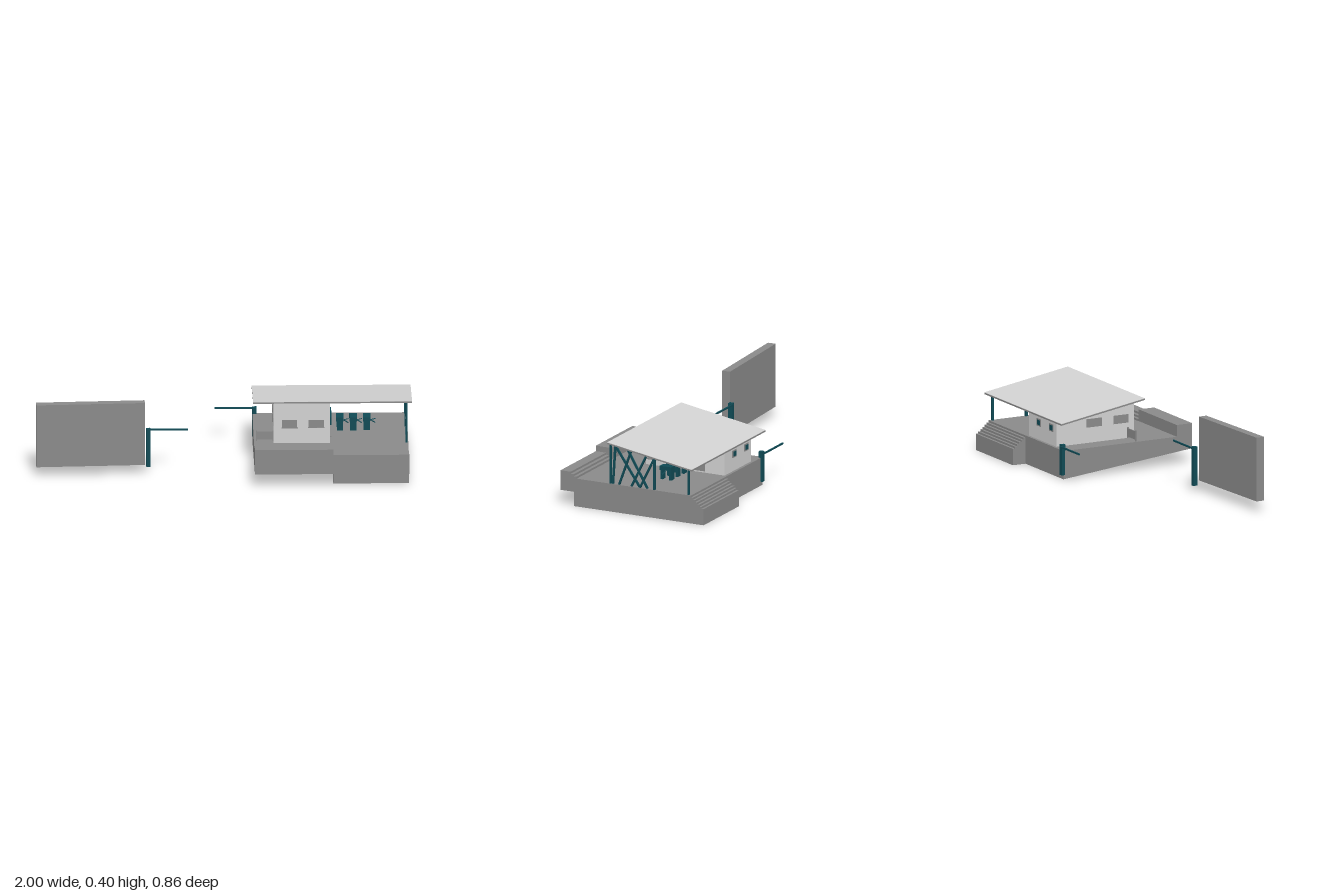
import * as THREE from 'three';

const mat = (name, color) => Object.assign(
  new THREE.MeshStandardMaterial({ color, side: THREE.DoubleSide, flatShading: true }), { name });

export function createModel() {
  const concrete = mat('concrete grey', 0x8a8a8a);
  const light = mat('pale grey', 0xd2d2d2);
  const teal = mat('dark teal', 0x0f4a55);

  const root = new THREE.Group();
  root.name = 'station';
  const hall = new THREE.Group(); // slightly turned platform and building
  hall.name = 'stationHall';
  hall.position.x = 0.56;
  hall.rotation.y = -0.05;
  root.add(hall);

  const add = (name, geo, m, parent = hall) => {
    const mesh = new THREE.Mesh(geo, m);
    mesh.name = name;
    parent.add(mesh);
    return mesh;
  };
  // box given by its extents
  const box = (name, x0, x1, y0, y1, z0, z1, m, parent) => {
    const b = add(name, new THREE.BoxGeometry(x1 - x0, y1 - y0, z1 - z0), m, parent);
    b.position.set((x0 + x1) / 2, (y0 + y1) / 2, (z0 + z1) / 2);
    return b;
  };
  // square bar between two points
  const bar = (name, a, b, t, m, parent) => {
    const p = new THREE.Vector3(...a), q = new THREE.Vector3(...b);
    const mesh = add(name, new THREE.BoxGeometry(t, t, p.distanceTo(q)), m, parent);
    mesh.position.copy(p).add(q).multiplyScalar(0.5);
    mesh.quaternion.setFromUnitVectors(new THREE.Vector3(0, 0, 1), q.sub(p).normalize());
    return mesh;
  };
  const shapeOf = pts => new THREE.Shape(pts.map(p => new THREE.Vector2(...p)));
  // flat side wall from [z, y] points, facing +x or -x
  const sideWall = (name, pts, x, dir, m) => {
    const g = new THREE.ShapeGeometry(shapeOf(dir > 0 ? pts.map(([z, y]) => [-z, y]) : pts));
    g.rotateY(dir * Math.PI / 2);
    g.translate(x, 0, 0);
    return add(name, g, m);
  };
  // solid of constant [z, y] section between two x values
  const prism = (name, pts, x0, x1, m) => {
    const g = new THREE.ExtrudeGeometry(shapeOf(pts), { depth: x1 - x0, bevelEnabled: false });
    g.rotateY(-Math.PI / 2);
    g.translate(x1, 0, 0);
    return add(name, g, m);
  };
  // open folded sheet following a [z, y] profile that runs from back to front
  const sheet = (name, pts, x0, x1, m) => {
    const pos = [];
    for (let i = 0; i < pts.length - 1; i++) {
      const [z0, y0] = pts[i], [z1, y1] = pts[i + 1];
      pos.push(x0, y0, z0, x0, y1, z1, x1, y1, z1, x0, y0, z0, x1, y1, z1, x1, y0, z0);
    }
    const g = new THREE.BufferGeometry();
    g.setAttribute('position', new THREE.Float32BufferAttribute(pos, 3));
    g.computeVertexNormals();
    return add(name, g, m);
  };

  // platform shell, open underneath
  const D = 0.152, XL = -0.411, XR = 0.397;
  const stairs = [[-0.435, 0]];
  for (let i = 0; i < 6; i++) {
    const z = -0.435 + i * 0.0125, y = 0.088 + i * 0.0107;
    stairs.push([z, y], [z + 0.0125, y]);
  }
  const rightProfile = [...stairs, [-0.36, D], [0.315, D], [0.315, 0.163], [0.332, 0.163],
    [0.332, 0.174], [0.35, 0.174], [0.35, 0.185], [0.41, 0.185], [0.41, 0.078], [0.33, 0.078], [0.33, 0]];
  const leftProfile = [[-0.36, 0], [-0.36, D], [0.318, D], [0.318, 0.215], [0.41, 0.215], [0.41, 0.08]];
  sheet('platformRight', rightProfile, 0, XR, concrete);
  sheet('platformLeft', leftProfile, XL, 0, concrete);
  sideWall('platformRightWall', rightProfile, XR, 1, concrete);
  sideWall('platformLeftWall', leftProfile, XL, -1, concrete);
  sideWall('parapetEnd', [[0.318, D], [0.41, D], [0.41, 0.215], [0.318, 0.215]], 0, 1, concrete);
  sideWall('platformBracket', [[0.33, 0], [0.41, 0.078], [0.41, D], [0.33, D]], 0, -1, concrete);
  sideWall('stairInnerWall', [...stairs, [-0.36, D], [-0.36, 0]], 0, -1, concrete);

  // lean-to roof
  const under = z => 0.372 + (z - 0.124) * 0.164;
  const slab = (a, b) => [[-0.375, under(-0.375) + a], [0.124, under(0.124) + a],
    [0.124, under(0.124) + b], [-0.375, under(-0.375) + b]];
  prism('roofSlab', slab(0, 0.008), -0.415, 0.417, concrete);
  prism('roofSheet', slab(0.008, 0.01), -0.415, 0.417, light);

  // ticket house
  const HL = -0.308, HR = -0.012, HB = -0.345, HF = 0.12;
  prism('house', [[HB, D], [HF, D], [HF, under(HF)], [HB, under(HB)]], HL, HR, light);
  for (const x of [-0.225, -0.085]) {
    box('frontWindow', x - 0.04, x + 0.04, 0.24, 0.28, HF, HF + 0.003, concrete);
    box('windowSill', x - 0.043, x + 0.043, 0.236, 0.24, HF, HF + 0.006, concrete);
  }
  for (const x of [-0.12, -0.255]) {
    box('backWindow', x - 0.022, x + 0.022, 0.225, 0.265, HB - 0.003, HB, concrete);
    box('backWindowPane', x - 0.014, x + 0.014, 0.232, 0.258, HB - 0.005, HB, teal);
  }
  for (const z of [0.04, -0.12]) box('sideWindow', HL - 0.003, HL, 0.235, 0.28, z - 0.045, z + 0.045, concrete);
  box('sideDoor', HR, HR + 0.004, 0.16, 0.28, -0.25 + 0.02, -0.165, concrete);
  box('counterLedge', HR, HR + 0.008, 0.182, 0.188, -0.07, 0.115, concrete);

  // barred ticket window
  const W0 = -0.08, W1 = 0.08;
  box('ticketWindow', HR, HR + 0.003, 0.243, 0.275, W0, W1, teal);
  for (const y of [0.238, 0.275]) box('ticketWindowRail', HR, HR + 0.008, y, y + 0.005, W0, W1, teal);
  for (let i = 0; i <= 10; i++) {
    const z = W0 + i * 0.016;
    box('ticketWindowBar', HR, HR + 0.007, 0.238, 0.28, z - 0.002, z + 0.002, teal);
  }

  // gate beside the house
  box('gatePanel', -0.395, HL, 0.16, 0.205, 0.078, 0.084, concrete);
  for (const x of [-0.4, HL - 0.006]) box('gatePost', x, x + 0.006, D, 0.21, 0.076, 0.086, concrete);

  // roof posts and crossed braces
  const PX = 0.388;
  for (const [z, t] of [[0.118, 0.01], [-0.14, 0.013], [-0.342, 0.01]])
    box('roofPost', PX - t / 2, PX + t / 2, D, under(z) + 0.002, z - t / 2, z + t / 2, teal);
  for (const [zb, zt] of [[0.105, 0.09], [-0.055, 0.095], [0.068, -0.005], [-0.1, 0.022], [-0.005, -0.095], [-0.055, -0.142]])
    bar('brace', [PX, D, zb], [PX, under(zt), zt], 0.01, teal);

  // turnstiles
  for (const x of [0.042, 0.112, 0.183]) {
    const t = new THREE.Group();
    t.name = 'turnstile';
    t.position.set(x, 0, -0.108);
    hall.add(t);
    box('turnstileTop', -0.02, 0.02, 0.203, 0.225, -0.034, 0.034, teal, t);
    box('turnstileBackLeg', -0.016, 0.016, 0.146, 0.205, -0.034, -0.02, teal, t);
    box('turnstileFrontLeg', -0.016, 0.016, 0.146, 0.205, 0.018, 0.03, teal, t);
    bar('turnstileStrut', [0, 0.18, -0.022], [0, 0.203, 0.0], 0.008, teal, t);
    bar('turnstileArm', [0.02, 0.2, 0], [0.045, 0.187, 0.008], 0.004, teal, t);
    bar('turnstileArm', [0.02, 0.2, 0], [0.045, 0.203, -0.01], 0.004, teal, t);
  }

  // barriers with a post and a long arm
  const barrier = (px, pz, y0, y1, ax, az0, az1, ay) => {
    box('barrierPost', px - 0.011, px + 0.011, y0, y1, pz - 0.012, pz + 0.012, teal, root);
    bar('barrierArm', [px, ay, az0], [ax, ay, az1], 0.008, teal, root);
  };
  barrier(0.178, -0.379, 0.022, 0.186, -0.03, -0.395, -0.405, 0.176);
  barrier(-0.409, 0.068, 0.027, 0.236, -0.2, 0.058, 0.069, 0.227);

  // free-standing board
  box('board', -1, -0.43, 0.056, 0.399, 0.084, 0.129, concrete, root);
  return root;
}
